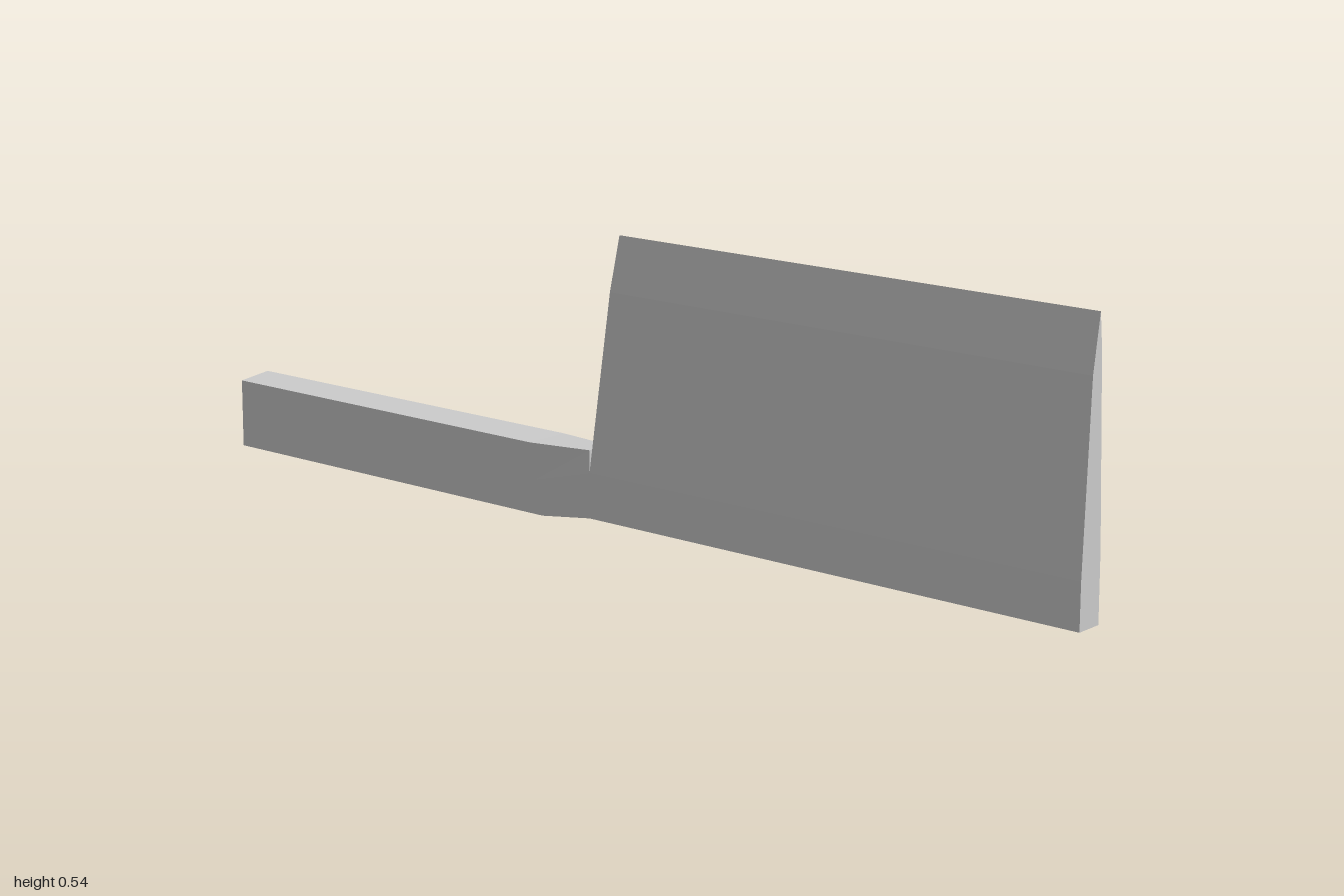
import * as THREE from 'three';

const material = new THREE.MeshStandardMaterial({ color: 0xcccccc, flatShading: true });

// Closed solid through cross-sections ordered along +x; each starts at the
// lower front corner and runs up the front and down the back.
function loft(name, rings) {
  const pos = [];
  const tri = (a, b, c) => pos.push(...a, ...b, ...c);
  const n = rings[0].length;
  for (let r = 0; r < rings.length - 1; r++) {
    const a = rings[r], b = rings[r + 1];
    for (let i = 0; i < n; i++) {
      const j = (i + 1) % n;
      tri(a[i], b[i], b[j]);
      tri(a[i], b[j], a[j]);
    }
  }
  const first = rings[0], last = rings[rings.length - 1];
  for (let i = 1; i < n - 1; i++) {
    tri(first[0], first[i], first[i + 1]);
    tri(last[0], last[i + 1], last[i]);
  }
  const geometry = new THREE.BufferGeometry();
  geometry.setAttribute('position', new THREE.Float32BufferAttribute(pos, 3));
  geometry.computeVertexNormals();
  const mesh = new THREE.Mesh(geometry, material);
  mesh.name = name;
  return mesh;
}

export function createModel() {
  const group = new THREE.Group();
  group.name = 'cleaver';

  // Blade: wedge section with a bevelled edge on top and a slanted heel
  const heel = [
    [-0.065, 0.014, 0.029],
    [-0.065, 0.1, 0.029],
    [-0.028, 0.44, 0.014],
    [-0.02, 0.543, -0.003],
    [-0.03, 0.48, -0.01],
    [-0.068, 0.14, -0.026],
    [-0.068, 0.014, -0.027],
  ];
  group.add(loft('blade', [heel, heel.map(([, y, z]) => [1, y, z])]));

  // Handle: square bar with a skewed butt, tapering into the heel of the blade
  group.add(loft('handle', [
    [[-0.985, 0.003, 0.042], [-0.985, 0.07, 0.042], [-0.985, 0.137, 0.042], [-1, 0.14, -0.042], [-1, 0, -0.042]],
    [[-0.17, 0.003, 0.042], [-0.185, 0.07, 0.042], [-0.2, 0.138, 0.042], [-0.19, 0.141, -0.042], [-0.17, 0, -0.042]],
    [[-0.065, 0.014, 0.029], [-0.065, 0.1, 0.029], [-0.067, 0.142, 0.026], [-0.068, 0.142, -0.027], [-0.068, 0.014, -0.027]],
  ]));

  return group;
}
